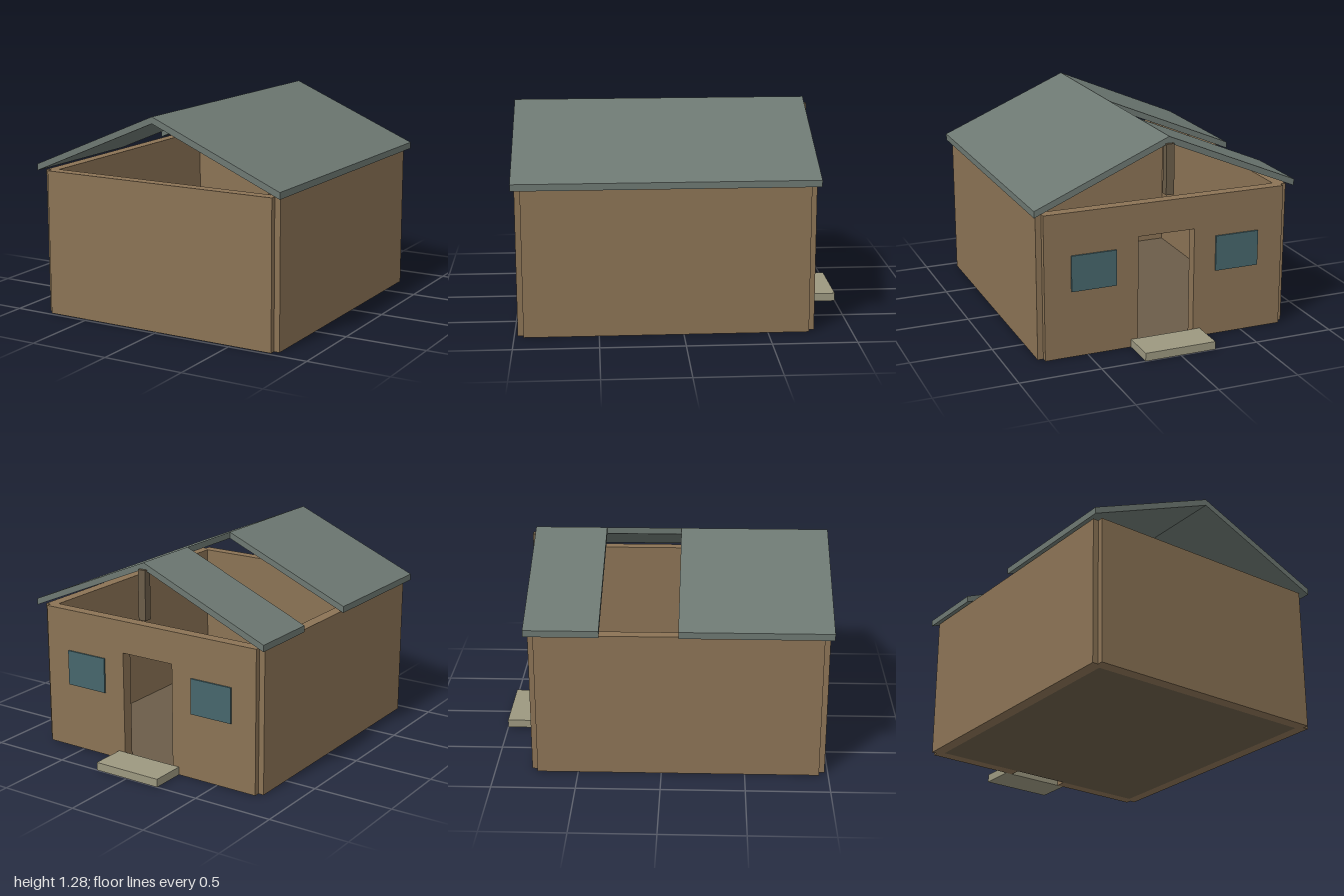
import * as THREE from 'three';

const material = (color) => new THREE.MeshStandardMaterial({ color, flatShading: true });

export function createModel() {
  const house = new THREE.Group();
  house.name = 'house';

  const wallMat = material(0x8b7355);
  const roofMat = material(0x6d7872);
  const woodMat = material(0x6b5d49);
  const stepMat = material(0x9c9880);
  const glassMat = material(0x46666c);

  const add = (name, geometry, mat) => {
    const mesh = new THREE.Mesh(geometry, mat);
    mesh.name = name;
    house.add(mesh);
    return mesh;
  };

  // Box given by its limits on each axis
  const box = (name, mat, [x0, x1], [y0, y1], [z0, z1]) => {
    const mesh = add(name, new THREE.BoxGeometry(x1 - x0, y1 - y0, z1 - z0), mat);
    mesh.position.set((x0 + x1) / 2, (y0 + y1) / 2, (z0 + z1) / 2);
    return mesh;
  };

  // Outline in x and y, extruded from z0 to z1
  const slab = (name, mat, points, z0, z1) => {
    const shape = new THREE.Shape(points.map(([x, y]) => new THREE.Vector2(x, y)));
    const geometry = new THREE.ExtrudeGeometry(shape, { depth: z1 - z0, bevelEnabled: false });
    geometry.translate(0, 0, z0);
    return add(name, geometry, mat);
  };

  const wallTop = 0.89;
  const halfWidth = 0.765;

  // Floor between the walls
  box('floor', woodMat, [-0.73, 0.73], [0, 0.01], [-0.71, 0.91]);

  // Side walls, leaving a small notch at each corner
  box('leftWall', wallMat, [0.73, 0.8], [0, wallTop], [-0.745, 0.945]);
  box('rightWall', wallMat, [-0.8, -0.73], [0, wallTop], [-0.745, 0.945]);

  // Plain front wall
  box('frontWall', wallMat, [-halfWidth, halfWidth], [0, wallTop], [0.91, 0.98]);

  // Back wall with the doorway cut out
  const door = 0.18, doorTop = 0.69;
  slab('backWall', wallMat, [
    [-halfWidth, 0], [-door, 0], [-door, doorTop], [door, doorTop],
    [door, 0], [halfWidth, 0], [halfWidth, wallTop], [-halfWidth, wallTop],
  ], -0.78, -0.71);

  // Windows on either side of the doorway
  for (const [name, x] of [['leftWindow', 0.46], ['rightWindow', -0.46]]) {
    box(name, glassMat, [x - 0.14, x + 0.14], [0.41, 0.63], [-0.79, -0.77]);
  }

  // Doorstep
  box('doorstep', stepMat, [-0.225, 0.225], [0, 0.05], [-1, -0.78]);

  // Roof slopes, the right one in two parts with an opening between
  const leftSlope = [[0, 1.24], [0.825, 0.89], [0.825, 0.93], [0, 1.28]];
  const rightSlope = leftSlope.map(([x, y]) => [-x, y]).reverse();
  slab('leftRoof', roofMat, leftSlope, -0.8, 1);
  slab('rightRoofFront', roofMat, rightSlope, 0.1, 1);
  slab('rightRoofBack', roofMat, rightSlope, -0.8, -0.36);

  // Short post hanging under the ridge in the back gable
  box('gablePost', woodMat, [-0.025, 0.025], [0.935, 1.24], [-0.82, -0.77]);

  return house;
}
